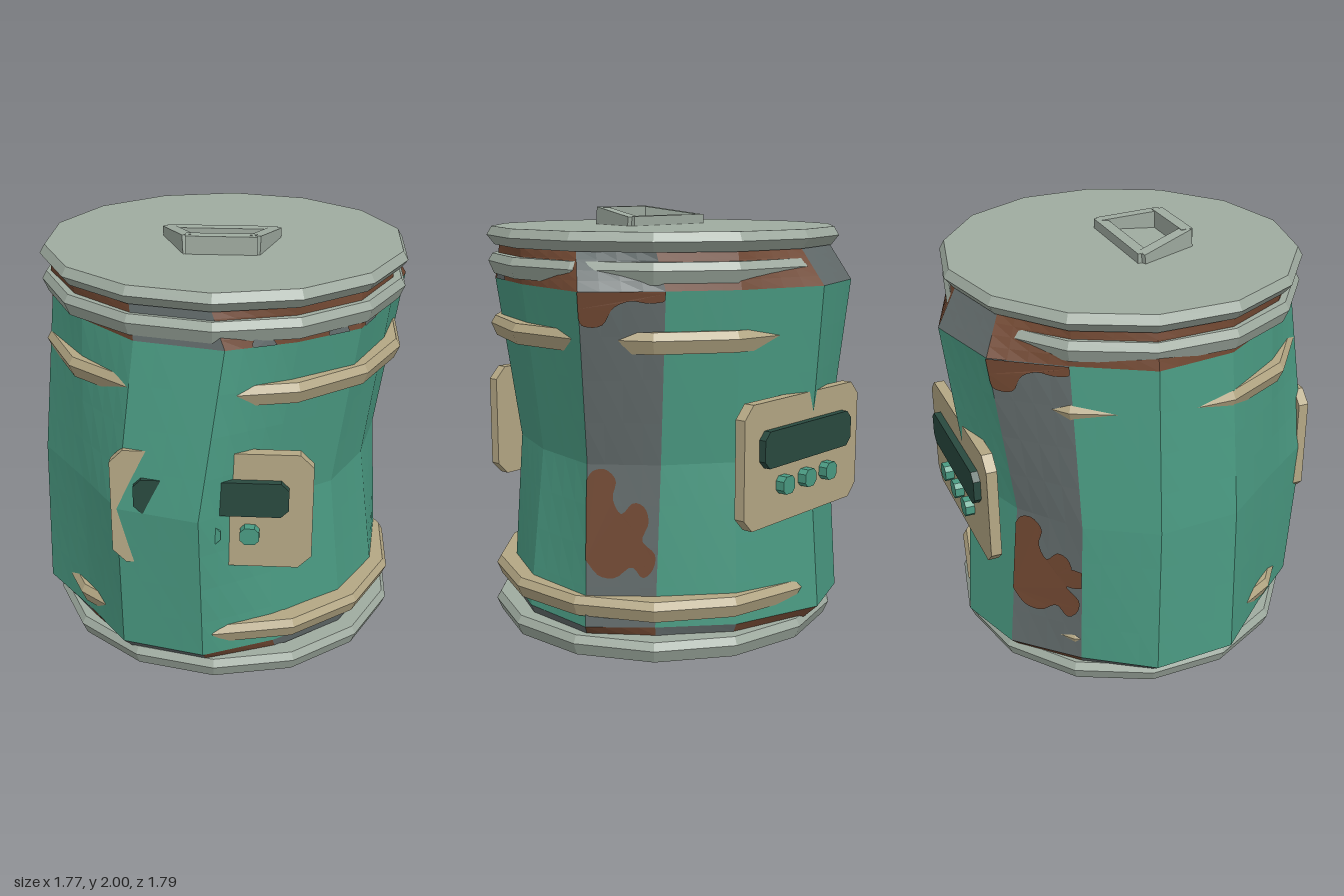
import * as THREE from 'three';

const SIDES = 14;
const mat = (name, color) => {
  const m = new THREE.MeshStandardMaterial({ color, flatShading: true });
  m.name = name;
  return m;
};

// Regular ring, vertex 0 at the front, going towards -x
const regular = (r) => Array.from({ length: SIDES }, (_, k) => {
  const a = (k / SIDES) * Math.PI * 2;
  return [-Math.sin(a) * r * 1.02, Math.cos(a) * r];
});

// Dented body cross-sections: height and [x, z] corners
const RINGS = [
  { y: 0, p: regular(0.71) },
  { y: 0.16, p: [[-0.04, 0.84], [-0.42, 0.75], [-0.62, 0.49], [-0.87, 0.2], [-0.88, -0.19], [-0.67, -0.49], [-0.42, -0.75],
    [-0.1, -0.86], [0.33, -0.71], [0.6, -0.46], [0.8, -0.22], [0.77, 0.17], [0.6, 0.47], [0.28, 0.7]] },
  { y: 0.9, p: [[-0.05, 0.9], [-0.42, 0.8], [-0.62, 0.51], [-0.85, 0.2], [-0.87, -0.18], [-0.69, -0.48], [-0.42, -0.69],
    [-0.08, -0.81], [0.3, -0.67], [0.56, -0.46], [0.755, -0.2], [0.68, 0.16], [0.53, 0.47], [0.25, 0.67]] },
  { y: 1.67, p: [[0.06, 0.82], [-0.33, 0.73], [-0.59, 0.48], [-0.78, 0.18], [-0.82, -0.18], [-0.63, -0.5], [-0.42, -0.79],
    [-0.04, -0.89], [0.36, -0.74], [0.62, -0.54], [0.88, -0.28], [0.78, 0.17], [0.63, 0.52], [0.36, 0.7]] },
  { y: 1.84, p: regular(0.785) },
];

// Point on the body: k + u is the position around, y the height
function bodyPoint(k, u, y, out = 1) {
  let i = 0;
  while (i < RINGS.length - 2 && y > RINGS[i + 1].y) i++;
  const A = RINGS[i], B = RINGS[i + 1], t = (y - A.y) / (B.y - A.y), j = (k + 1) % SIDES;
  const at = (c) => THREE.MathUtils.lerp(
    THREE.MathUtils.lerp(A.p[k][c], A.p[j][c], u),
    THREE.MathUtils.lerp(B.p[k][c], B.p[j][c], u), t);
  return [at(0) * out, y, at(1) * out];
}

// Rectangle with cut corners, extruded along +z
function cutPlate(w, h, c, depth) {
  const x = w / 2, y = h / 2;
  const pts = [[-x + c, -y], [x - c, -y], [x, -y + c], [x, y - c], [x - c, y], [-x + c, y], [-x, y - c], [-x, -y + c]];
  const shape = new THREE.Shape(pts.map((p) => new THREE.Vector2(...p)));
  return new THREE.ExtrudeGeometry(shape, { depth, bevelEnabled: false });
}

export function createModel() {
  const root = new THREE.Group();
  root.name = 'dentedBarrel';
  const green = mat('greenPaint', 0x4a9a82), rust = mat('rust', 0x714832), steel = mat('bareSteel', 0x626b6b);
  const rim = mat('paleMetal', 0x9faba0), tan = mat('tanTrim', 0xb4a784);
  const dark = mat('darkGreen', 0x29493f), under = mat('darkUnderside', 0x64432f);

  const add = (parent, name, geo, material) => {
    const m = new THREE.Mesh(geo, material);
    m.name = name;
    parent.add(m);
    return m;
  };

  // Body, sorted into painted, bare and rusted faces
  const bare = [5, 9], topSteel = [0, 6, 9], lowRust = [1, 5, 7, 9, 13];
  const faces = new Map([[green, []], [rust, []], [steel, []]]);
  const N = 4;
  for (let s = 0; s < RINGS.length - 1; s++) {
    for (let k = 0; k < SIDES; k++) {
      let m = bare.includes(k) ? steel : green;
      if (s === 0) m = lowRust.includes(k) ? rust : steel;
      if (s === 3) m = topSteel.includes(k) ? steel : rust;
      const y0 = RINGS[s].y, dy = RINGS[s + 1].y - y0;
      for (let i = 0; i < N; i++) for (let j = 0; j < N; j++) {
        const u0 = i / N, u1 = (i + 1) / N, ya = y0 + (dy * j) / N, yb = y0 + (dy * (j + 1)) / N;
        const a = bodyPoint(k, u0, ya), b = bodyPoint(k, u0, yb), c = bodyPoint(k, u1, yb), d = bodyPoint(k, u1, ya);
        faces.get(m).push(...a, ...b, ...c, ...a, ...c, ...d);
      }
    }
  }
  for (const [m, list] of faces) {
    const g = new THREE.BufferGeometry();
    g.setAttribute('position', new THREE.Float32BufferAttribute(list, 3));
    g.computeVertexNormals();
    add(root, 'body ' + m.name, g, m);
  }
  const base = new THREE.CircleGeometry(0.71, SIDES, Math.PI / 2);
  add(root, 'underside', base.rotateX(Math.PI / 2).scale(1.02, 1, 1), under);

  // Patches of rust on bare panels and of steel on the rusted neck
  const patch = (k, pts, yMin, yMax, m) => {
    const curve = new THREE.SplineCurve(pts.map(([u, y]) => new THREE.Vector2(-u, y)));
    const g = new THREE.ShapeGeometry(new THREE.Shape(curve.getPoints(pts.length * 3)));
    const p = g.attributes.position;
    for (let i = 0; i < p.count; i++) {
      const u = THREE.MathUtils.clamp(-p.getX(i), 0, 1), y = THREE.MathUtils.clamp(p.getY(i), yMin, yMax);
      p.setXYZ(i, ...bodyPoint(k, u, y, 1.007));
    }
    g.computeVertexNormals();
    add(root, m.name + ' patch', g, m);
  };
  for (const k of bare) {
    patch(k, [[1, 0.83], [0.92, 0.87], [0.75, 0.88], [0.6, 0.83], [0.64, 0.75], [0.52, 0.68], [0.36, 0.73], [0.2, 0.71],
      [0.14, 0.64], [0.22, 0.56], [0.04, 0.5], [0.06, 0.43], [0.2, 0.39], [0.36, 0.44], [0.58, 0.39], [0.82, 0.4], [1, 0.47]],
    0.2, 0.89, rust);
    patch(k, [[1, 1.67], [1, 1.55], [0.9, 1.52], [0.72, 1.53], [0.6, 1.6], [0.4, 1.63], [0.2, 1.62], [0, 1.63], [0, 1.67]],
      1.4, 1.669, rust);
  }
  patch(5, [[0, 0.66], [0.2, 0.66], [0.34, 0.61], [0.2, 0.56], [0, 0.57]], 0.5, 0.7, rust);
  for (const [k, u] of [[11, 0.74], [12, 0.36], [13, 0.45]]) {
    patch(k, [[u - 0.16, 1.67], [u + 0.16, 1.67], [u + 0.1, 1.71], [u - 0.1, 1.71]], 1.671, 1.72, steel);
  }

  // Hoops, partly swallowed by the dents
  const hoop = (name, y, r, m) => {
    const profile = [[r - 0.1, -0.05], [r - 0.025, -0.05], [r, 0.01], [r - 0.02, 0.045], [r - 0.1, 0.045]];
    const g = new THREE.LatheGeometry(profile.map(([x, h]) => new THREE.Vector2(x, y + h)), SIDES);
    add(root, name, g.scale(1.025, 1, 1), m).position.x = 0.008;
  };
  hoop('bottomRim', 0.075, 0.835, rim);
  hoop('lowerHoop', 0.26, 0.83, tan);
  hoop('upperHoop', 1.452, 0.825, tan);
  hoop('neckRim', 1.745, 0.83, rim);

  // Lid
  const lid = [[0, 1.83], [0.8, 1.83], [0.835, 1.875], [0.812, 1.915], [0, 1.915]];
  const lidGeo = new THREE.LatheGeometry(lid.map((p) => new THREE.Vector2(...p)), SIDES);
  add(root, 'lid', lidGeo.scale(1.025, 1, 1), rim).position.x = 0.008;

  // Handle: a tilted loop of four bars
  const handle = new THREE.Group();
  handle.name = 'lidHandle';
  root.add(handle);
  const corners = [[-0.25, 1.917, 0], [0.24, 1.917, 0], [0.16, 1.955, 0.265], [-0.14, 1.955, 0.265]]
    .map((c) => new THREE.Vector3(...c));
  corners.forEach((a, i) => {
    const b = corners[(i + 1) % 4];
    const bar = add(handle, 'handleBar', new THREE.BoxGeometry(0.055, 0.085, a.distanceTo(b) + 0.02), rim);
    bar.position.addVectors(a, b).multiplyScalar(0.5);
    bar.lookAt(b);
  });

  // Front and back panels with a slot and three buttons
  for (const [name, z, turn] of [['frontPanel', 0.75, 0], ['backPanel', 0.78, Math.PI]]) {
    const panel = new THREE.Group();
    panel.name = name;
    panel.rotation.y = turn;
    root.add(panel);
    add(panel, 'plate', cutPlate(0.89, 0.56, 0.06, 0.05), tan).position.set(0, 0.91, z);
    add(panel, 'slot', cutPlate(0.68, 0.165, 0.035, 0.05), dark).position.set(0, 0.983, z + 0.033);
    for (const x of [-0.17, 0, 0.17]) {
      add(panel, 'button', cutPlate(0.085, 0.08, 0.02, 0.06), green).position.set(x, 0.805, z + 0.033);
    }
  }
  return root;
}
